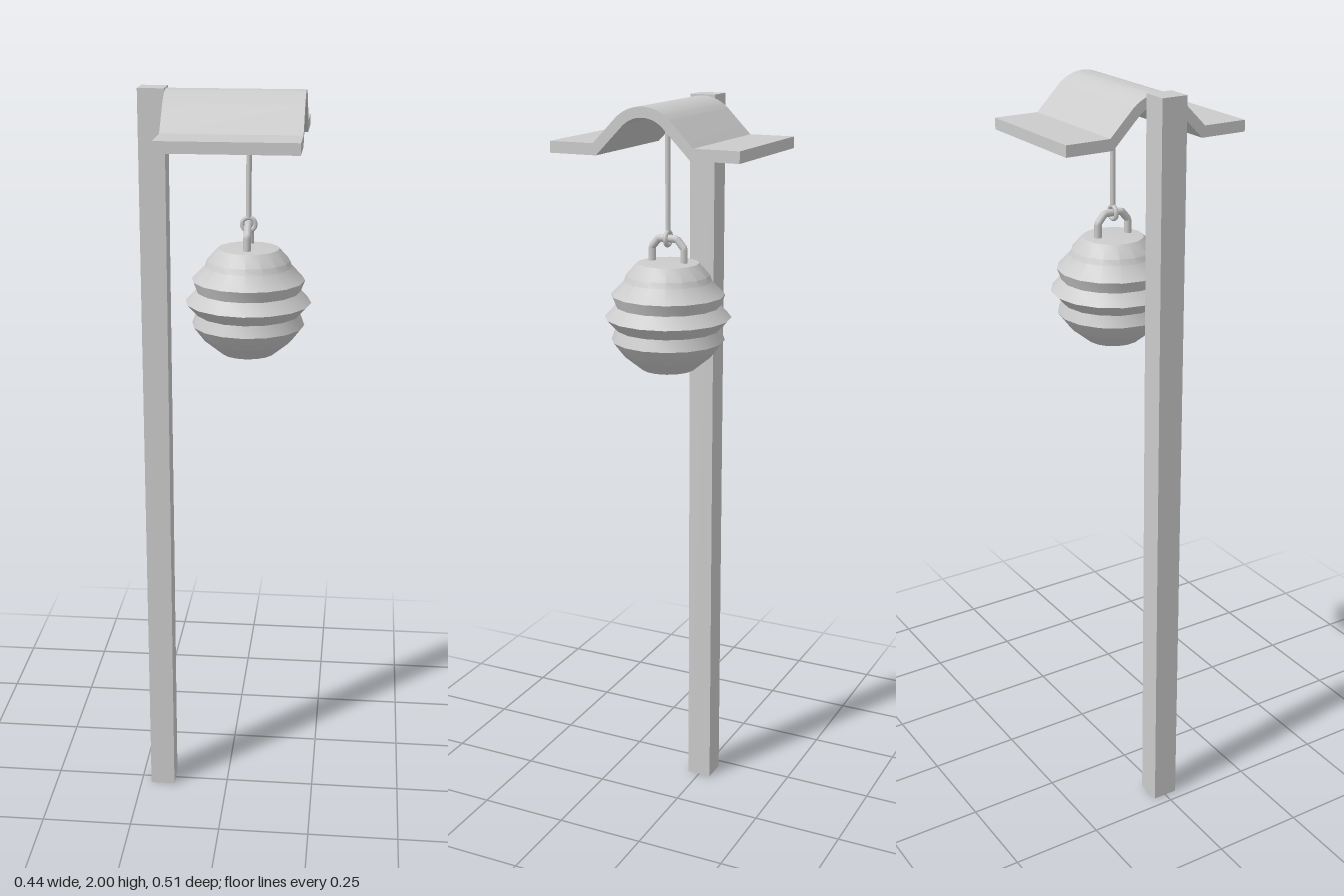
import * as THREE from 'three';
import { toCreasedNormals } from 'three/addons/utils/BufferGeometryUtils.js';

const material = new THREE.MeshStandardMaterial({ color: 0xcccccc });

function add(group, name, geometry, x = 0, y = 0, z = 0) {
  const mesh = new THREE.Mesh(geometry, material);
  mesh.name = name;
  mesh.position.set(x, y, z);
  group.add(mesh);
  return mesh;
}

// Arched canopy with a flat flange on each side, extruded along x
function canopyGeometry() {
  const q = Math.PI / 4;
  const shape = new THREE.Shape();
  shape.moveTo(-0.255, 1.876);
  shape.lineTo(-0.127, 1.876);
  shape.absarc(0, 1.893, 0.078, 3 * q, q, true);
  shape.lineTo(0.127, 1.876);
  shape.lineTo(0.255, 1.876);
  shape.lineTo(0.255, 1.905);
  shape.lineTo(0.135, 1.905);
  shape.absarc(0, 1.893, 0.104, q, 3 * q, false);
  shape.lineTo(-0.135, 1.905);
  shape.lineTo(-0.255, 1.905);
  shape.closePath();
  const geometry = new THREE.ExtrudeGeometry(shape, { depth: 0.35, bevelEnabled: false, curveSegments: 10 });
  geometry.rotateY(Math.PI / 2);
  return toCreasedNormals(geometry, 0.6);
}

// Ribbed round lantern, listed from bottom to top as [radius, height]
function lanternGeometry() {
  const profile = [
    [0, 1.31], [0.07, 1.321], [0.108, 1.352], [0.118, 1.36], [0.147, 1.398],
    [0.136, 1.428], [0.164, 1.458], [0.136, 1.488], [0.147, 1.517],
    [0.113, 1.552], [0.108, 1.567], [0.08, 1.598], [0, 1.605],
  ].map(([r, y]) => new THREE.Vector2(r, y));
  return toCreasedNormals(new THREE.LatheGeometry(profile, 16), 0.5);
}

// Angular wire bail joining both sides of the lantern top
function bailGeometry() {
  const corners = [[0.045, 1.585], [0.045, 1.637], [0.025, 1.66], [-0.025, 1.66], [-0.045, 1.637], [-0.045, 1.585]]
    .map(([z, y]) => new THREE.Vector3(0, y, z));
  const path = new THREE.CurvePath();
  for (let i = 1; i < corners.length; i++) path.add(new THREE.LineCurve3(corners[i - 1], corners[i]));
  return new THREE.TubeGeometry(path, 40, 0.01, 8, false);
}

export function createModel() {
  const model = new THREE.Group();
  model.name = 'lanternPost';

  add(model, 'post', new THREE.BoxGeometry(0.068, 2, 0.07), -0.187, 1, 0);
  add(model, 'canopy', canopyGeometry(), -0.153, 0, 0);

  // Hanging lantern with its wire, hook and bail
  const hanging = new THREE.Group();
  hanging.name = 'hangingLantern';
  hanging.position.x = 0.055;
  model.add(hanging);
  add(hanging, 'lantern', lanternGeometry());
  add(hanging, 'bail', bailGeometry());
  add(hanging, 'hook', new THREE.TorusGeometry(0.017, 0.006, 8, 16), 0, 1.66, 0);
  add(hanging, 'wire', new THREE.CylinderGeometry(0.007, 0.007, 0.3, 8), 0, 1.825, 0);

  return model;
}
